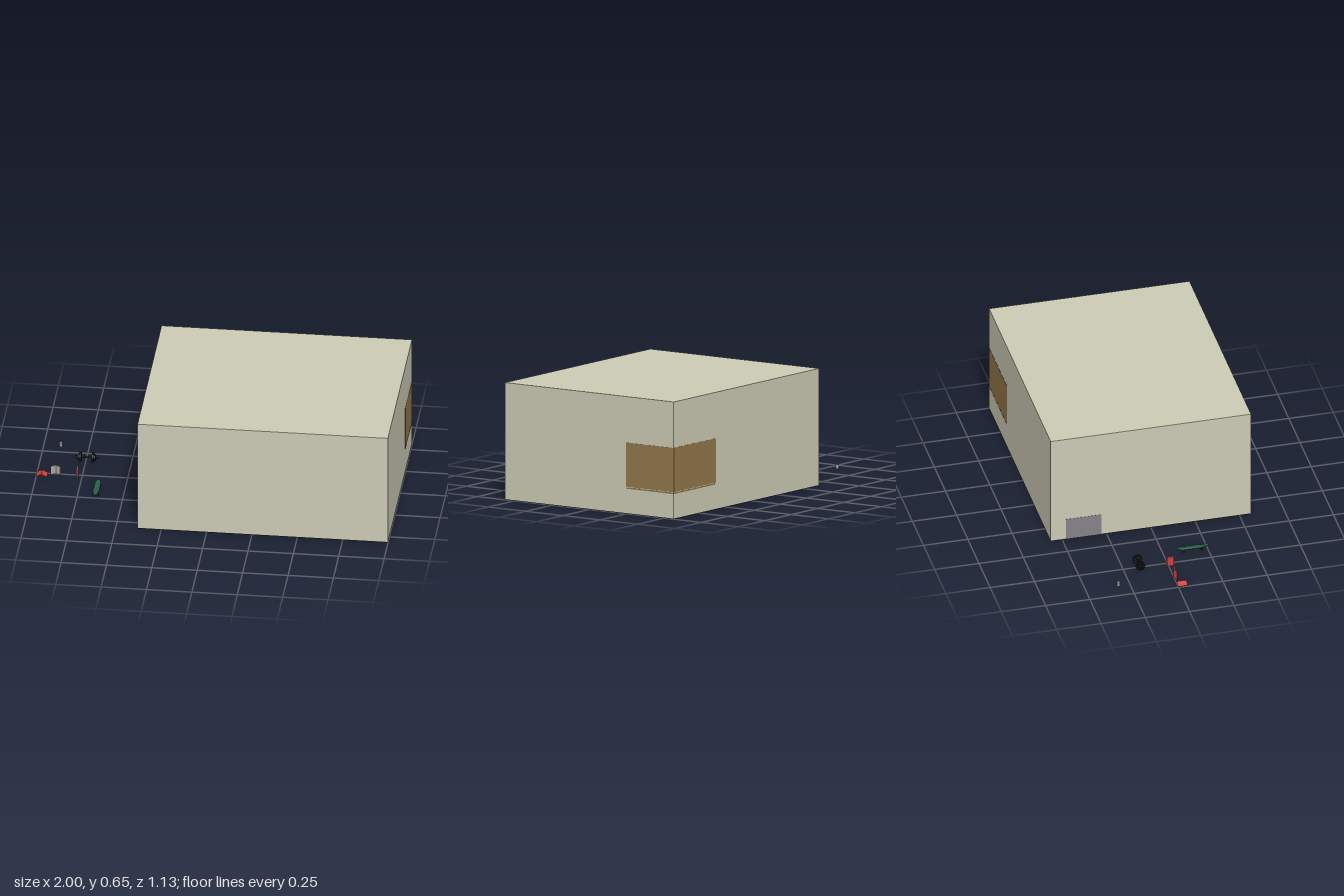
import * as THREE from 'three';

const mat = (color, side = THREE.FrontSide) => new THREE.MeshStandardMaterial({ color, side });
const wallMat = mat(0xcccbb5), floorMat = mat(0x262626), brown = mat(0x92774b), grey = mat(0x858388);
const black = mat(0x151515), red = mat(0xd0403a), page = mat(0xaaa6a6), green = mat(0x2a5f4c);

function add(parent, name, geometry, material, x = 0, y = 0, z = 0) {
  const mesh = new THREE.Mesh(geometry, material);
  mesh.name = name;
  mesh.position.set(x, y, z);
  parent.add(mesh);
  return mesh;
}

// box given by its two opposite corners
function span(parent, name, material, [x0, y0, z0], [x1, y1, z1]) {
  return add(parent, name, new THREE.BoxGeometry(x1 - x0, y1 - y0, z1 - z0), material,
    (x0 + x1) / 2, (y0 + y1) / 2, (z0 + z1) / 2);
}

// closed room with the pieces that come through its outer faces
function room() {
  const g = new THREE.Group();
  g.name = 'room';
  span(g, 'walls', wallMat, [-0.38, 0.003, -0.565], [0.999, 0.65, 0.565]);
  span(g, 'floor', floorMat, [-0.38, 0.001, -0.565], [0.999, 0.003, 0.565]);
  span(g, 'cornerCabinet', brown, [0.6, 0.15, -0.566], [1, 0.395, -0.245]);
  span(g, 'cabinetLedge', brown, [0.61, 0.139, -0.5655], [1, 0.147, -0.25]);
  span(g, 'cornerBlock', grey, [-0.381, 0.0005, -0.48], [-0.185, 0.13, -0.28]);
  add(g, 'floorDisc', new THREE.CylinderGeometry(0.036, 0.036, 0.002, 24), mat(0x85856a), -0.184, 0.0015, 0.35);
  // thin strips under the floor
  span(g, 'strip', black, [0.055, 0.0005, -0.45], [0.065, 0.002, 0.005]);
  for (const z of [-0.45, 0.005]) span(g, 'strip', black, [-0.17, 0.0005, z - 0.005], [0.06, 0.002, z + 0.005]);
  return g;
}

// book hinged at its spine (vertical, at the origin) and opening toward +z;
// angle is half the opening between the covers
function book(name, angle, width) {
  const g = new THREE.Group();
  g.name = name;
  for (const s of [-1, 1]) {
    const half = new THREE.Group();
    half.rotation.y = s * angle;
    span(half, 'cover', red, [s > 0 ? 0 : -0.002, 0, 0], [s > 0 ? 0.002 : 0, 0.055, width]);
    span(half, 'pages', page, [s > 0 ? -0.003 : 0, 0.002, 0.001], [s > 0 ? 0 : 0.003, 0.053, width - 0.001]);
    g.add(half);
  }
  return g;
}

function dumbbell() {
  const g = new THREE.Group();
  g.name = 'dumbbell';
  const disc = (name, r, w, x) => {
    add(g, name, new THREE.CylinderGeometry(r, r, w, 20), black, x).rotation.z = Math.PI / 2;
  };
  disc('bar', 0.0045, 0.128, 0);
  for (const s of [-1, 1]) {
    disc('largePlate', 0.027, 0.01, s * 0.034);
    disc('smallPlate', 0.018, 0.01, s * 0.044);
  }
  g.position.set(-0.745, 0.027, -0.16);
  return g;
}

function skateboard() {
  const g = new THREE.Group();
  g.name = 'skateboard';
  // deck outline: rounded point at one end, square tail at the other
  const shape = new THREE.Shape();
  shape.moveTo(0, 0.09);
  shape.quadraticCurveTo(0.015, 0.08, 0.016, 0.055);
  shape.lineTo(0.017, -0.03);
  shape.lineTo(0.011, -0.065);
  shape.lineTo(0.011, -0.09);
  shape.lineTo(-0.011, -0.09);
  shape.lineTo(-0.011, -0.065);
  shape.lineTo(-0.017, -0.03);
  shape.lineTo(-0.016, 0.055);
  shape.quadraticCurveTo(-0.015, 0.08, 0, 0.09);
  const geo = new THREE.ExtrudeGeometry(shape, { depth: 0.004, bevelEnabled: false });
  geo.rotateX(-Math.PI / 2);
  // lift nose and tail
  const p = geo.attributes.position;
  for (let i = 0; i < p.count; i++) p.setY(i, p.getY(i) + Math.max(0, Math.abs(p.getZ(i)) - 0.06) * 0.2);
  geo.computeVertexNormals();
  add(g, 'deck', geo, green, 0, 0.014, 0);
  for (const z of [-0.052, 0.052]) {
    add(g, 'axle', new THREE.BoxGeometry(0.026, 0.008, 0.008), black, 0, 0.01, z);
    for (const x of [-0.013, 0.013]) {
      add(g, 'wheel', new THREE.CylinderGeometry(0.0075, 0.0075, 0.009, 14), black, x, 0.0075, z).rotation.z = Math.PI / 2;
    }
  }
  g.position.set(-0.652, 0, 0.165);
  return g;
}

export function createModel() {
  const model = new THREE.Group();
  model.add(room(), dumbbell(), skateboard());

  const closed = book('closedBook', 0, 0.04);
  closed.children.forEach((half, i) => { half.position.x = i ? 0.0035 : -0.0035; });
  closed.position.set(-0.775, 0, -0.01);

  const standing = book('standingOpenBook', 1.1, 0.031);
  standing.position.set(-0.896, 0, -0.002);

  // open book lying face down like a roof
  const roof = book('faceDownBook', 1.1, 0.033);
  roof.rotation.x = Math.PI / 2;
  roof.position.set(-0.97, 0.019, -0.003);
  model.add(closed, standing, roof);

  // small open cup
  const cup = [[0, 0], [0.009, 0], [0.01, 0.024], [0.008, 0.024], [0.0075, 0.003], [0, 0.003]];
  add(model, 'cup', new THREE.LatheGeometry(cup.map(([x, y]) => new THREE.Vector2(x, y)), 18),
    mat(0xaaaaaa, THREE.DoubleSide), -0.905, 0, -0.315);
  return model;
}
